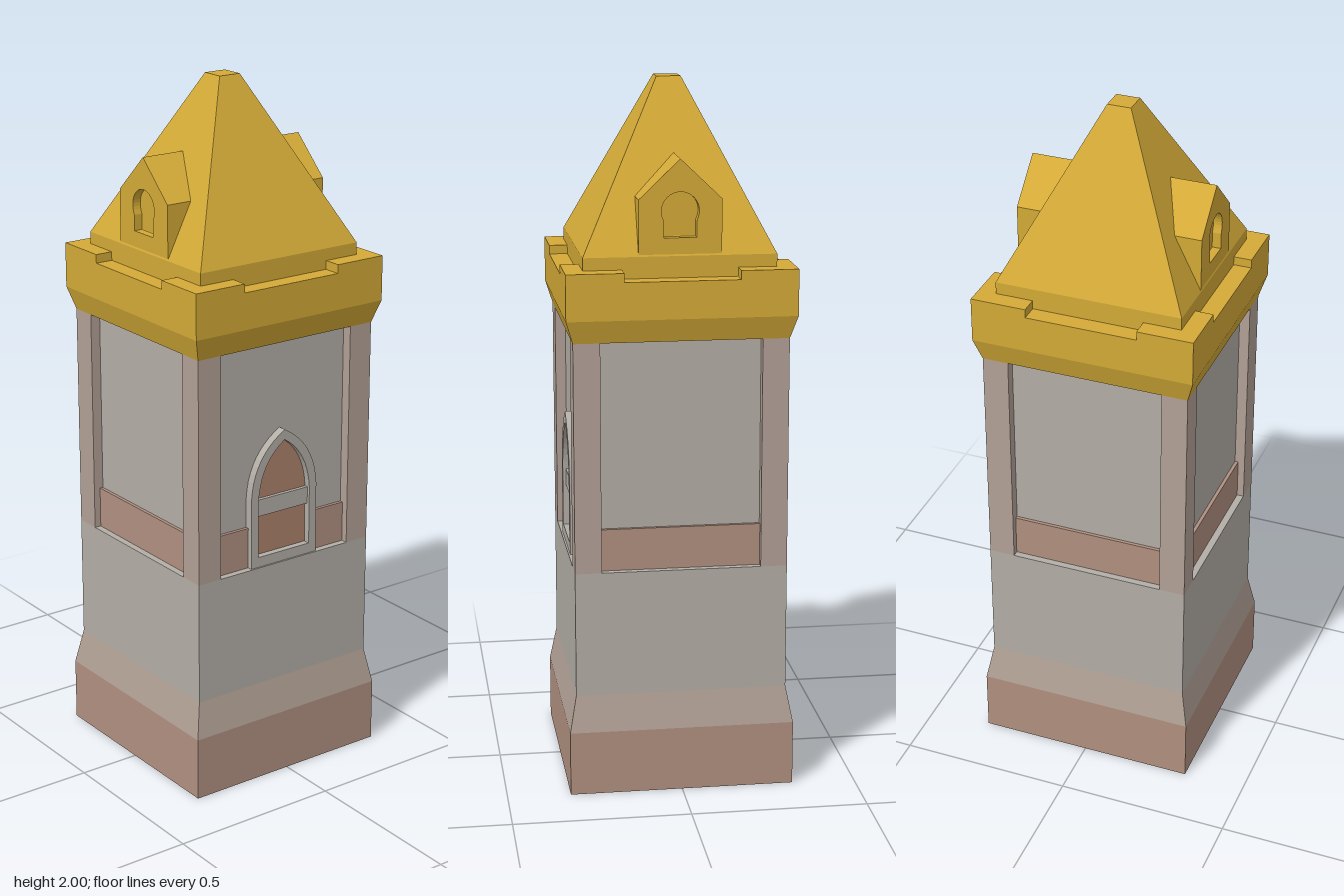
import * as THREE from 'three';

const material = (color) => new THREE.MeshStandardMaterial({ color, flatShading: true });
const grey = material(0xb3aea6);
const blend = material(0xb2a196);
const brown = material(0xb09080);
const doorBrown = material(0xac826c);
const gold = material(0xd4aa37);

function add(parent, name, geometry, mat) {
  const mesh = new THREE.Mesh(geometry, mat);
  mesh.name = name;
  parent.add(mesh);
  return mesh;
}

// Square tier from [half width, height] pairs, bottom to top
function tier(profile) {
  const points = profile.map(([half, y]) => new THREE.Vector2(half * Math.SQRT2, y));
  return new THREE.LatheGeometry(points, 4, Math.PI / 4);
}

// Box given by its extents
function box(x0, x1, y0, y1, z0, z1) {
  return new THREE.BoxGeometry(x1 - x0, y1 - y0, z1 - z0)
    .translate((x0 + x1) / 2, (y0 + y1) / 2, (z0 + z1) / 2);
}

function extrude(shape, z0, z1) {
  return new THREE.ExtrudeGeometry(shape, { depth: z1 - z0, bevelEnabled: false, curveSegments: 10 })
    .translate(0, 0, z0);
}

// Pointed arch outline
function pointedArch(path, half, bottom, spring, peak) {
  const rise = peak - spring;
  path.moveTo(-half, bottom);
  path.lineTo(half, bottom);
  path.lineTo(half, spring);
  path.quadraticCurveTo(half * 0.93, spring + rise * 0.68, 0, peak);
  path.quadraticCurveTo(-half * 0.93, spring + rise * 0.68, -half, spring);
  path.closePath();
  return path;
}

// Arched doorway, modelled facing +z
function makeDoorway() {
  const group = new THREE.Group();
  group.name = 'doorway';
  const frame = pointedArch(new THREE.Shape(), 0.115, 0.65, 0.86, 1.045);
  frame.holes.push(pointedArch(new THREE.Path(), 0.09, 0.68, 0.85, 1.015));
  add(group, 'doorFrame', extrude(frame, 0.265, 0.295), grey);
  add(group, 'door', extrude(pointedArch(new THREE.Shape(), 0.092, 0.67, 0.85, 1.017), 0.26, 0.275), doorBrown);
  add(group, 'doorCrossbar', box(-0.091, 0.091, 0.8, 0.85, 0.265, 0.286), grey);
  return group;
}

// Gabled dormer with an arched niche, modelled facing +z
function makeDormer() {
  const group = new THREE.Group();
  group.name = 'dormer';
  const gable = new THREE.Shape();
  gable.moveTo(-0.115, 1.54);
  gable.lineTo(0.115, 1.54);
  gable.lineTo(0.115, 1.69);
  gable.lineTo(0, 1.8);
  gable.lineTo(-0.115, 1.69);
  gable.closePath();
  const niche = new THREE.Path();
  niche.moveTo(-0.045, 1.585);
  niche.lineTo(0.045, 1.585);
  niche.lineTo(0.045, 1.63);
  niche.absarc(0, 1.658, 0.052, -0.3, Math.PI + 0.3, false);
  niche.lineTo(-0.045, 1.63);
  niche.closePath();
  gable.holes.push(niche);
  add(group, 'dormerGable', extrude(gable, 0.13, 0.267), gold);
  add(group, 'dormerWindow', box(-0.06, 0.06, 1.57, 1.72, 0.2, 0.242), gold);
  return group;
}

export function createModel() {
  const tower = new THREE.Group();
  tower.name = 'tower';

  // Base and shaft
  add(tower, 'plinth', tier([[0, 0], [0.32, 0], [0.32, 0.185]]), brown);
  add(tower, 'plinthSlope', tier([[0.32, 0.185], [0.3, 0.29]]), blend);
  add(tower, 'lowerShaft', tier([[0.3, 0.29], [0.3, 0.65], [0, 0.65]]), grey);
  add(tower, 'upperWalls', tier([[0.27, 0.65], [0.27, 1.31]]), grey);

  // Corner pillars
  for (const sx of [-1, 1]) {
    for (const sz of [-1, 1]) {
      const pillar = add(tower, 'cornerPillar', box(-0.0375, 0.0375, 0.65, 1.305, -0.0375, 0.0375), blend);
      pillar.position.set(sx * 0.2625, 0, sz * 0.2625);
    }
  }

  // Low bands around the foot of the recessed walls, split by the doorway on +x
  for (let i = 0; i < 4; i++) {
    const side = new THREE.Group();
    side.name = 'wallSide';
    side.rotation.y = i * Math.PI / 2;
    const spans = i === 1 ? [[-0.225, -0.115], [0.115, 0.225]] : [[-0.225, 0.225]];
    for (const [x0, x1] of spans) {
      add(side, 'wallBand', box(x0, x1, 0.65, 0.77, 0.26, 0.28), brown);
    }
    if (i === 1) side.add(makeDoorway());
    tower.add(side);
  }

  // Cornice with raised corners
  add(tower, 'cornice', tier([[0, 1.305], [0.3, 1.305], [0.32, 1.37], [0.32, 1.475], [0, 1.475]]), gold);
  for (let i = 0; i < 4; i++) {
    const corner = new THREE.Shape();
    [[0.32, -0.32], [0.32, -0.16], [0.265, -0.16], [0.265, -0.265], [0.16, -0.265], [0.16, -0.32]]
      .forEach(([x, y], k) => (k ? corner.lineTo(x, y) : corner.moveTo(x, y)));
    const raised = add(tower, 'corniceCorner',
      extrude(corner, 1.475, 1.5).rotateX(-Math.PI / 2), gold);
    raised.rotation.y = i * Math.PI / 2;
  }

  // Roof
  add(tower, 'roof', tier([[0.268, 1.47], [0.268, 1.535], [0.034, 2], [0, 2]]), gold);
  for (const turn of [0, Math.PI]) {
    const dormer = makeDormer();
    dormer.rotation.y = turn;
    tower.add(dormer);
  }
  return tower;
}
